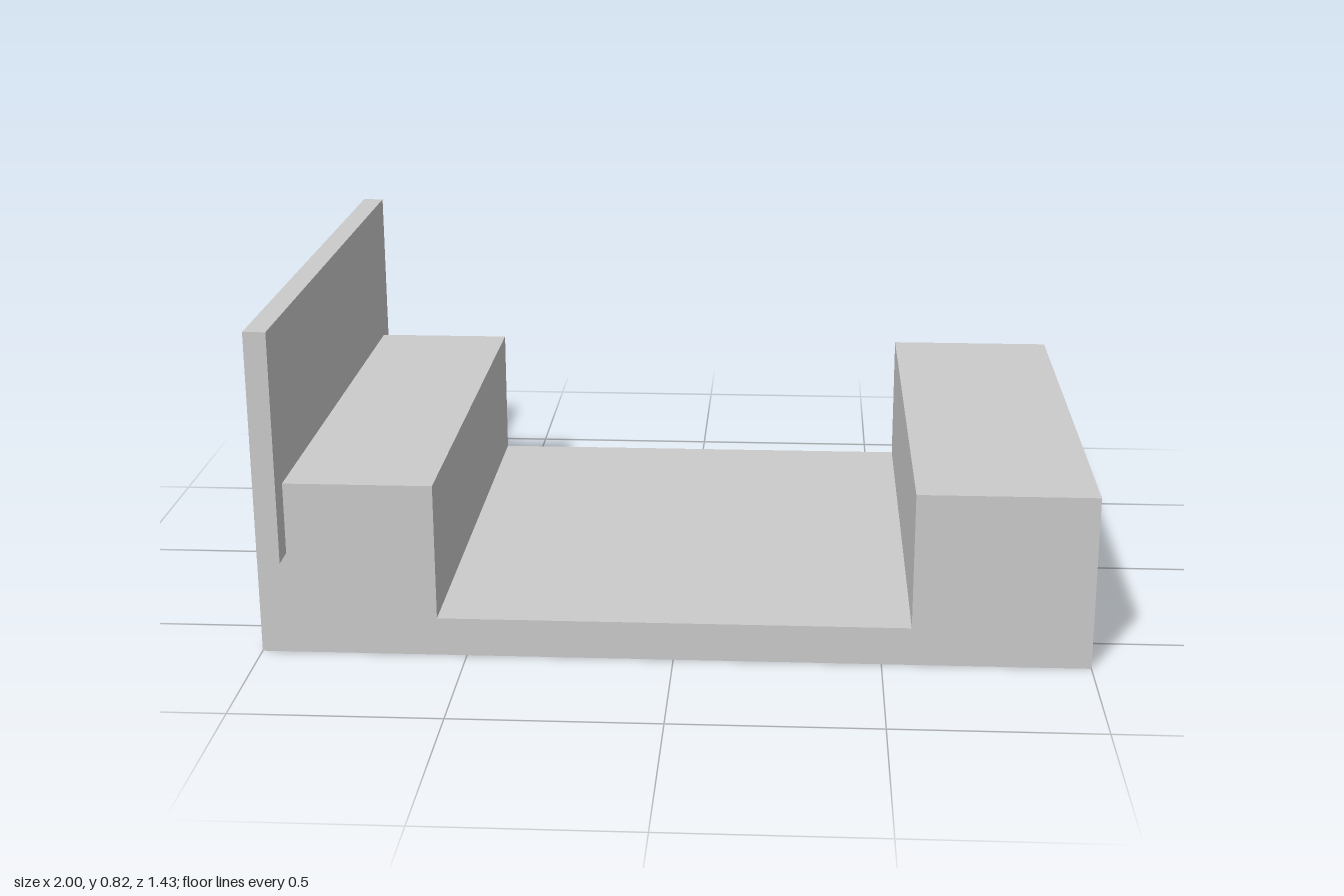
import * as THREE from 'three';

const material = new THREE.MeshStandardMaterial({ color: 0xcccccc, flatShading: true });

export function createModel() {
  const model = new THREE.Group();
  model.name = 'channelWithBoard';

  // U-shaped base: thin floor between two raised blocks
  const halfWidth = 1, halfGap = 0.57, height = 0.433, floor = 0.095, depth = 1.3;
  const profile = new THREE.Shape([
    [-halfWidth, 0], [halfWidth, 0], [halfWidth, height], [halfGap, height],
    [halfGap, floor], [-halfGap, floor], [-halfGap, height], [-halfWidth, height],
  ].map(([x, y]) => new THREE.Vector2(x, y)));
  const baseGeometry = new THREE.ExtrudeGeometry(profile, { depth, bevelEnabled: false });
  baseGeometry.translate(0, 0, -depth / 2);
  const base = new THREE.Mesh(baseGeometry, material);
  base.name = 'base';
  model.add(base);

  // Upright board sunk into the right block, overhanging it front and back
  const board = new THREE.Mesh(new THREE.BoxGeometry(0.054, 0.568, 1.435), material);
  board.position.set(-0.955, 0.54, 0);
  board.name = 'uprightBoard';
  model.add(board);

  return model;
}
